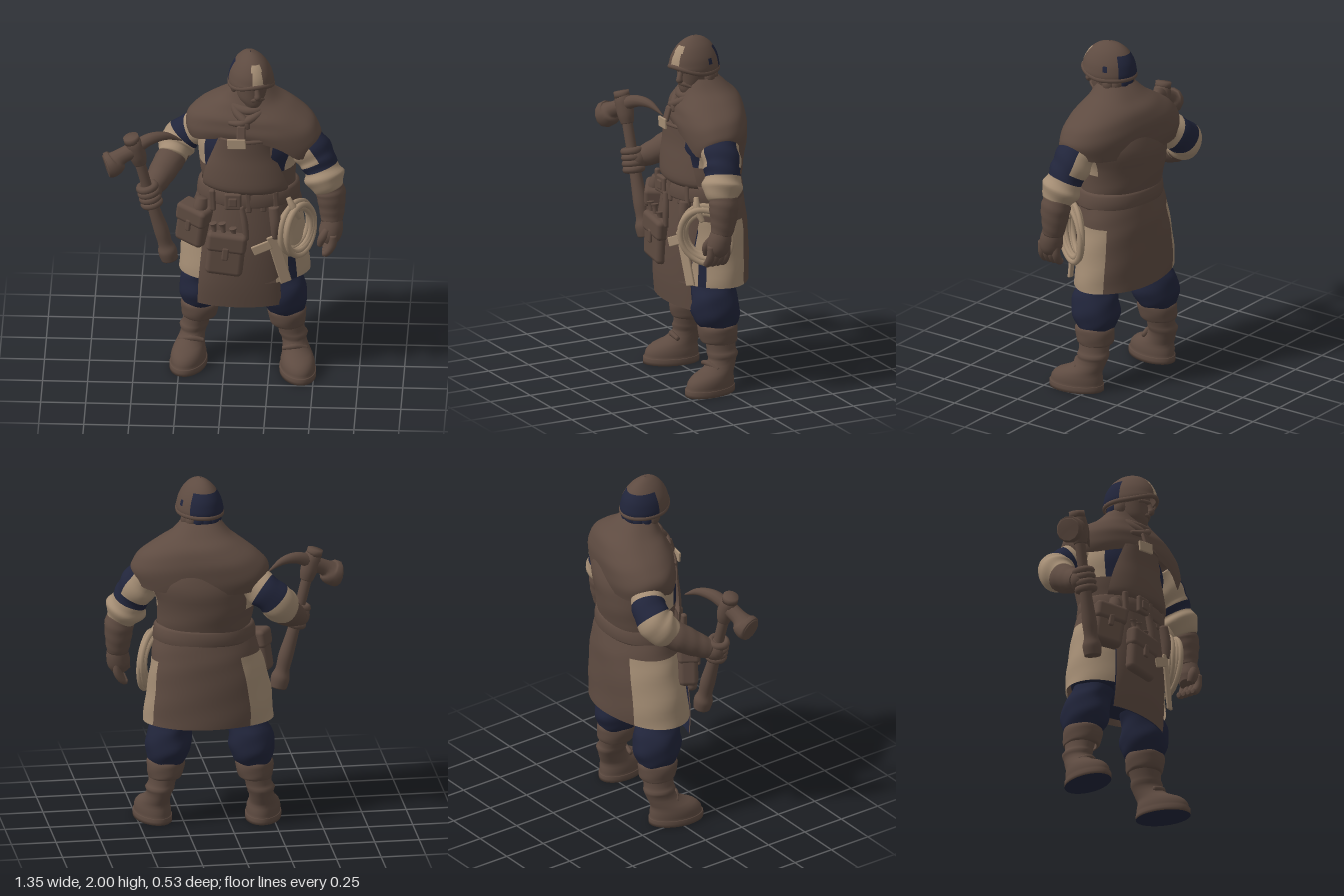
import * as THREE from 'three';
import { mergeVertices } from 'three/addons/utils/BufferGeometryUtils.js';
import { RoundedBoxGeometry } from 'three/addons/geometries/RoundedBoxGeometry.js';

const colour = (name, hex) => {
  const m = new THREE.MeshStandardMaterial({ color: hex, side: THREE.DoubleSide });
  m.name = name;
  return m;
};

export function createModel() {
  const model = new THREE.Group();
  model.name = 'craftsman';
  const mats = [colour('brown leather', 0x5e4b41), colour('tan linen', 0xa48d74), colour('navy cloth', 0x21253b)];
  const [BROWN, TAN, NAVY] = [0, 1, 2];

  const add = (name, geo, mat = BROWN, pos = [0, 0, 0], rot = [0, 0, 0], scale = [1, 1, 1]) => {
    const mesh = new THREE.Mesh(geo, Array.isArray(mat) ? mat : mats[mat]);
    mesh.name = name;
    mesh.position.set(...pos);
    mesh.rotation.set(...rot);
    mesh.scale.set(...scale);
    model.add(mesh);
    return mesh;
  };
  const box = (name, size, pos, rot, mat, r = 0.012) =>
    add(name, new RoundedBoxGeometry(...size, 2, Math.min(r, Math.min(...size) / 2.1)), mat, pos, rot);

  // Smooth value between the rows of a small table
  const sample = (rows, t) => {
    const f = t * (rows.length - 1), i = Math.min(Math.floor(f), rows.length - 2), u = f - i;
    const at = k => rows[Math.max(0, Math.min(rows.length - 1, k))];
    return rows[i].map((b, k) => {
      const a = at(i - 1)[k], c = at(i + 1)[k], d = at(i + 2)[k];
      return b + 0.5 * u * (c - a + u * (2 * a - 5 * b + 4 * c - d + u * (3 * (b - c) + d - a)));
    });
  };

  // Skin over a list of rings; pick(angle in degrees, t) chooses the colour of each face
  const skin = (name, rings, angles, pick, cap) => {
    const n = rings.length, w = angles.length, pos = [], faces = [[], [], []];
    const middle = r => r.reduce((s, p) => s.add(p), new THREE.Vector3()).divideScalar(w);
    const all = cap ? [rings[0].map(() => middle(rings[0])), ...rings, rings[0].map(() => middle(rings[n - 1]))] : rings;
    all.forEach(r => r.forEach(p => pos.push(p.x, p.y, p.z)));
    for (let i = 0; i < all.length - 1; i++) for (let j = 0; j < w - 1; j++) {
      const t = cap ? (i - 0.5) / (n - 1) : (i + 0.5) / (n - 1);
      const a = i * w + j, b = a + 1, c = b + w, d = a + w;
      faces[pick(THREE.MathUtils.radToDeg((angles[j] + angles[j + 1]) / 2), t)].push(a, b, c, a, c, d);
    }
    let geo = new THREE.BufferGeometry();
    geo.setAttribute('position', new THREE.Float32BufferAttribute(pos, 3));
    geo.setIndex(faces.flat());
    let start = 0;
    faces.forEach((f, k) => { if (f.length) geo.addGroup(start, f.length, k); start += f.length; });
    geo = mergeVertices(geo, 1e-5);
    geo.computeVertexNormals();
    return add(name, geo, mats);
  };
  const angleList = (a0, a1, n) => Array.from({ length: n + 1 }, (_, i) => a0 + (a1 - a0) * i / n);

  // Upright loft: rows of [y, centre x, centre z, radius x, radius z], bottom to top; angle 0 is the front
  const loft = (name, rows, { mat = BROWN, pick = () => mat, yaw = 0, arc = [0, Math.PI * 2], seg = 40, sub = 4,
    fold = 0, square = 1, hem = () => 0, cap = false } = {}) => {
    const angles = angleList(...arc, seg), n = (rows.length - 1) * sub, c = Math.cos(yaw), s = Math.sin(yaw);
    const full = v => Math.sign(v) * Math.abs(v) ** square;
    const rings = angleList(0, 1, n).map(t => {
      const [y, cx, cz, rx, rz] = sample(rows, t);
      return angles.map(a => {
        const k = 1 + fold * Math.sin(5 * a + 7 * t) + fold * 0.6 * Math.sin(3 * a - 22 * t);
        const lx = rx * k * full(Math.sin(a)), lz = rz * k * full(Math.cos(a));
        return new THREE.Vector3(cx + lx * c - lz * s, y + hem(a, t), cz + lx * s + lz * c);
      });
    });
    return skin(name, rings, angles, pick, cap);
  };

  // Limb: rows of [x, y, z, radius] along its middle
  const limb = (name, rows, { mat = BROWN, pick = () => mat, seg = 20, sub = 6, fold = 0 } = {}) => {
    const angles = angleList(0, Math.PI * 2, seg), at = t => new THREE.Vector3(...sample(rows, t));
    const rings = angleList(0, 1, (rows.length - 1) * sub).map(t => {
      const r = sample(rows, t)[3], p = at(t);
      const T = at(Math.min(1, t + 0.01)).sub(at(Math.max(0, t - 0.01))).normalize();
      const N = new THREE.Vector3(0, 0, 1).cross(T).normalize(), B = T.clone().cross(N);
      return angles.map(a => {
        const k = r * (1 + fold * Math.sin(26 * t + 2 * Math.sin(a)) + fold * 0.5 * Math.sin(4 * a + 9 * t));
        return p.clone().addScaledVector(N, k * Math.cos(a)).addScaledVector(B, k * Math.sin(a));
      });
    });
    return skin(name, rings, angles, pick, true);
  };

  // Legs, mirrored about the hips; the right one stands a little further back
  for (const s of [1, -1]) {
    const side = s > 0 ? 'left' : 'right', z = s > 0 ? 0 : -0.075, x = d => 0.105 + s * d;
    loft(side + 'Trouser', [[0.34, x(0.24), z, 0.08, 0.085], [0.38, x(0.235), z + 0.01, 0.108, 0.115], [0.45, x(0.228), z + 0.015, 0.128, 0.14],
      [0.54, x(0.22), z + 0.02, 0.122, 0.13], [0.63, x(0.185), z * 0.5 + 0.01, 0.115, 0.115], [0.85, x(0.13), z / 3, 0.12, 0.12]], { mat: NAVY, fold: 0.026 });
    loft(side + 'Boot', [[0, x(0.305), z + 0.09, 0.1, 0.16], [0.035, x(0.305), z + 0.09, 0.1, 0.16], [0.037, x(0.305), z + 0.088, 0.094, 0.153],
      [0.07, x(0.305), z + 0.085, 0.094, 0.15], [0.105, x(0.303), z + 0.07, 0.085, 0.13], [0.135, x(0.293), z + 0.03, 0.074, 0.1],
      [0.18, x(0.28), z, 0.068, 0.085], [0.21, x(0.277), z - 0.003, 0.08, 0.092], [0.24, x(0.265), z, 0.073, 0.085], [0.32, x(0.25), z, 0.085, 0.095]],
    { yaw: -0.22 * s, sub: 2, cap: true, pick: (a, t) => t < 0 ? NAVY : BROWN });
    loft(side + 'BootCuff', [[0.27, x(0.25), z, 0.085, 0.09], [0.285, x(0.247), z + 0.005, 0.097, 0.105], [0.36, x(0.242), z + 0.01, 0.107, 0.112],
      [0.385, x(0.242), z + 0.01, 0.085, 0.09]], { fold: 0.015 });
    limb(side + 'BootStrap', [[x(0.22), 0.15, z + 0.09, 0.012], [x(0.29), 0.165, z + 0.095, 0.016], [x(0.355), 0.14, z + 0.06, 0.012]], { seg: 8 });
  }
  loft('trouserSeat', [[0.6, 0.105, -0.03, 0.16, 0.1], [0.64, 0.105, -0.015, 0.325, 0.19], [0.78, 0.11, -0.02, 0.32, 0.19]], { mat: NAVY, cap: true });

  // Tunic skirt with linen side panels
  loft('skirt', [[0.61, 0.11, -0.015, 0.365, 0.222], [0.75, 0.11, -0.02, 0.352, 0.22], [0.92, 0.12, -0.025, 0.322, 0.213], [1.04, 0.13, -0.02, 0.295, 0.205],
    [1.16, 0.135, -0.005, 0.265, 0.19]], {
    seg: 72, fold: 0.01, pick: (a, t) => {
      const m = Math.min(a, 360 - a);
      if (m < 30 || m > (a < 180 ? 113 : 146) || t > (a < 180 ? 0.62 : 0.69)) return BROWN;
      return a > 45 && a < 56 && t < 0.25 ? NAVY : TAN;
    }
  });
  // Torso with shirt showing beside the bib
  loft('torso', [[1.12, 0.135, -0.01, 0.25, 0.185], [1.2, 0.135, -0.015, 0.262, 0.2], [1.32, 0.13, -0.025, 0.275, 0.21], [1.45, 0.15, -0.03, 0.29, 0.207],
    [1.62, 0.15, -0.03, 0.2, 0.15]], {
    yaw: 0.12, seg: 72, fold: 0.008, pick: (a, t) => {
      const m = Math.min(a, 360 - a);
      return m < 28 || m > (a < 180 ? 104 : 126) || t < 0.42 ? BROWN : m < 54 ? NAVY : TAN;
    }
  });
  // Apron with a dark lining, and its bib
  const apronRows = [[0.46, 0.09, 0.1, 0.27, 0.1], [0.62, 0.09, 0.11, 0.262, 0.105], [0.85, 0.11, 0.08, 0.262, 0.135], [1.12, 0.13, 0.01, 0.27, 0.18]];
  loft('apron', apronRows, { arc: [-1.05, 1.05], seg: 24 });
  loft('apronLining', apronRows.map(([y, x, z, rx, rz]) => [y, x, z - 0.007, rx, rz]), { arc: [1.05, -1.05], seg: 24, mat: NAVY });
  loft('bib', [[1.165, 0.13, 0.01, 0.26, 0.185], [1.2, 0.13, 0.02, 0.275, 0.2], [1.3, 0.12, 0.05, 0.245, 0.165], [1.4, 0.115, 0.08, 0.2, 0.125],
    [1.5, 0.115, 0.115, 0.16, 0.09]], { arc: [-1.05, 1.05], seg: 24, yaw: 0.1 });
  limb('bibTopEdge', [[-0.02, 1.49, 0.145, 0.01], [0.11, 1.5, 0.205, 0.012], [0.25, 1.5, 0.175, 0.01]], { seg: 8 });
  box('strapPatch', [0.105, 0.06, 0.014], [0.075, 1.495, 0.212], [0, -0.12, 0.08], TAN, 0.005);
  box('strap', [0.05, 0.09, 0.02], [0.1, 1.55, 0.195], [-0.3, 0, 0]);

  // Belt and buckle
  loft('belt', [[1.085, 0.135, -0.005, 0.275, 0.2], [1.095, 0.135, -0.005, 0.287, 0.212], [1.165, 0.135, -0.005, 0.28, 0.209], [1.18, 0.135, -0.005, 0.262, 0.19]],
    { sub: 2, yaw: 0.04, fold: 0.006 });
  box('buckle', [0.095, 0.1, 0.03], [0.055, 1.13, 0.205], [0, 0, 0]);
  box('bucklePlate', [0.05, 0.055, 0.02], [0.055, 1.13, 0.218], [0, 0, 0]);
  for (const x of [-0.06, 0.14, 0.22, 0.29]) box('beltLoop', [0.035, 0.13, 0.03], [x, 1.12, 0.2 - Math.abs(x - 0.1) * 0.18], [0, (x - 0.1) * 0.9, 0.05]);

  // Pouches
  const pouch = (name, [w, h, d], pos, rot) => {
    const g = new THREE.Group();
    g.name = name;
    g.add(box(name + 'Body', [w, h, d], [0, 0, 0], [0, 0, 0], BROWN, 0.03));
    g.add(box(name + 'Flap', [w * 1.06, h * 0.45, d * 1.15], [0, h * 0.29, 0.004], [0, 0, 0], BROWN, 0.025));
    g.add(box(name + 'Clasp', [w * 0.18, h * 0.3, 0.02], [0, h * 0.06, d * 0.56], [0, 0, 0]));
    g.position.set(...pos);
    g.rotation.set(...rot);
    model.add(g);
  };
  pouch('sidePouch', [0.18, 0.24, 0.11], [-0.165, 0.945, 0.12], [0, -0.55, -0.15]);
  pouch('frontPouch', [0.21, 0.26, 0.065], [0.015, 0.81, 0.222], [0, -0.05, -0.1]);
  for (const [x, y] of [[-0.05, 1], [0.0, 1.0], [0.06, 0.97]]) limb('pouchTool', [[x + 0.01, 0.88, 0.22, 0.014], [x, y - 0.03, 0.22, 0.014], [x - 0.005, y, 0.22, 0.022]], { seg: 10 });
  limb('toolLoop', [[0.1, 1.1, 0.205, 0.015], [0.12, 1.0, 0.215, 0.02], [0.13, 0.9, 0.22, 0.015]], { seg: 8 });
  limb('bottle', [[-0.12, 1.12, 0.14, 0.03], [-0.13, 1.06, 0.15, 0.04], [-0.14, 1.0, 0.15, 0.03]], { seg: 12 });

  // Hanging linen strips and rope coil
  box('strip', [0.065, 0.31, 0.016], [0.31, 0.765, 0.19], [0, 0.3, 0.27], TAN, 0.006);
  box('shortStrip', [0.11, 0.055, 0.016], [0.215, 0.845, 0.212], [0, 0.1, 0.4], TAN, 0.006);
  limb('holster', [[0.28, 1.09, 0.18, 0.03], [0.29, 0.99, 0.195, 0.03], [0.29, 0.9, 0.195, 0.02]], { seg: 10 });
  for (let i = 0; i < 6; i++) {
    add('ropeTurn', new THREE.TorusGeometry(0.118 + 0.01 * (i % 3), 0.0155, 8, 40), TAN,
      [0.388 + 0.008 * i, 0.925 - 0.01 * (i % 2), 0.1 + 0.005 * i], [0, 0.95 + 0.04 * (i - 2.5), 0.1 * i], [1, 1.1 + 0.03 * (i % 3), 1]);
  }
  limb('ropeHitch', [[0.36, 1.13, 0.15, 0.014], [0.39, 1.07, 0.16, 0.022], [0.42, 1.0, 0.14, 0.014]], { mat: TAN, seg: 8 });

  // Shoulder mantle, its hem dipping over the left breast
  loft('mantle', [[1.4, 0.16, -0.02, 0.37, 0.19], [1.47, 0.16, -0.022, 0.385, 0.2], [1.54, 0.16, -0.025, 0.365, 0.2], [1.6, 0.16, -0.025, 0.315, 0.192],
    [1.66, 0.16, -0.025, 0.235, 0.166], [1.71, 0.155, -0.01, 0.16, 0.13], [1.77, 0.15, 0.01, 0.105, 0.09]], {
    yaw: 0.26, fold: 0.008, square: 0.86, seg: 56,
    hem: (a, t) => (1 - t) ** 3 * (0.09 * Math.max(0, Math.cos(a)) ** 3 + 0.05 * Math.sin(a) ** 8 - 0.045 * Math.exp(-(((a - 0.95) / 0.3) ** 2)))
  });
  // Scarf
  add('scarf', new THREE.TorusGeometry(0.092, 0.026, 12, 32), BROWN, [0.15, 1.7, 0.035], [Math.PI / 2 + 0.38, 0.08, 0], [1.12, 1.08, 1]);
  limb('scarfFoldLeft', [[0.26, 1.72, 0.04, 0.022], [0.21, 1.66, 0.125, 0.024], [0.11, 1.605, 0.165, 0.022], [0.03, 1.59, 0.14, 0.012]], { seg: 12 });
  limb('scarfFoldRight', [[0.04, 1.7, 0.04, 0.022], [0.07, 1.65, 0.115, 0.024], [0.12, 1.61, 0.16, 0.024], [0.14, 1.57, 0.172, 0.012]], { seg: 12 });

  // Head
  const headYaw = -0.3;
  loft('face', [[1.62, 0.15, 0.02, 0.075, 0.075], [1.69, 0.155, 0.06, 0.06, 0.085], [1.73, 0.15, 0.055, 0.078, 0.1], [1.79, 0.15, 0.05, 0.088, 0.108],
    [1.88, 0.15, 0.05, 0.09, 0.115]], { yaw: headYaw, seg: 28 });
  limb('nose', [[0.182, 1.82, 0.15, 0.013], [0.189, 1.785, 0.163, 0.016], [0.19, 1.765, 0.165, 0.019], [0.186, 1.755, 0.15, 0.01]], { seg: 10 });
  limb('brow', [[0.11, 1.815, 0.135, 0.012], [0.18, 1.82, 0.155, 0.015], [0.225, 1.815, 0.115, 0.012]], { seg: 8 });
  limb('moustache', [[0.13, 1.725, 0.13, 0.008], [0.183, 1.745, 0.15, 0.014], [0.222, 1.725, 0.105, 0.008]], { seg: 8 });
  for (let i = 0; i < 7; i++) {
    const a = 1.65 + i * 0.48 - headYaw;
    add('hairTuft', new THREE.SphereGeometry(0.035, 10, 8), i > 1 && i < 6 ? NAVY : BROWN, [0.15 + 0.092 * Math.sin(a), 1.778, 0.035 + 0.092 * Math.cos(a)], [0, a, 0], [1, 1.25, 0.8]);
  }
  // Helmet with pale front stripe and dark back patch
  loft('helmet', [[1.79, 0.15, 0.055, 0.116, 0.143], [1.82, 0.15, 0.055, 0.126, 0.155], [1.855, 0.15, 0.055, 0.122, 0.152], [1.9, 0.15, 0.055, 0.108, 0.14],
    [1.95, 0.15, 0.055, 0.077, 0.108], [1.985, 0.148, 0.055, 0.038, 0.06], [2, 0.146, 0.055, 0.003, 0.004]], {
    yaw: headYaw, seg: 72, hem: (a, t) => 0.045 * Math.max(0, Math.cos(a)) ** 2 * Math.max(0, 1 - 3 * t), pick: (a, t) => {
      const m = Math.min(a, 360 - a);
      if (m < 8 + 16 * t && t > 0.16 && t < 0.71) return TAN;
      const patch = a > 124 && a < 260 && t > 0.12 && t < 0.62, spot = a > 90 && a < 101 && t > 0.33 && t < 0.46;
      return patch || spot ? NAVY : BROWN;
    }
  });
  loft('helmetRim', [[1.792, 0.15, 0.055, 0.12, 0.148], [1.8, 0.15, 0.055, 0.13, 0.159], [1.815, 0.15, 0.055, 0.129, 0.158], [1.822, 0.15, 0.055, 0.12, 0.148]],
    { yaw: headYaw, sub: 2, hem: a => 0.04 * Math.max(0, Math.cos(a)) ** 2 });

  // Left arm, hanging
  limb('leftSleeve', [[0.41, 1.49, 0.035, 0.085], [0.465, 1.42, 0.055, 0.107], [0.51, 1.35, 0.065, 0.107], [0.54, 1.29, 0.08, 0.098], [0.56, 1.235, 0.09, 0.113],
    [0.585, 1.17, 0.1, 0.08]], { fold: 0.035, seg: 28, pick: (a, t) => (t < 0.6 && (a < 80 || a > 325)) || (t > 0.45 && t < 0.6) ? NAVY : TAN });
  limb('leftBracer', [[0.585, 1.19, 0.1, 0.075], [0.595, 1.14, 0.1, 0.083], [0.6, 1.05, 0.105, 0.072], [0.6, 0.98, 0.115, 0.06]], { fold: 0.018 });
  limb('leftHand', [[0.6, 1.0, 0.115, 0.055], [0.6, 0.95, 0.125, 0.064], [0.59, 0.9, 0.135, 0.064], [0.575, 0.86, 0.14, 0.045]]);
  for (let i = 0; i < 4; i++) {
    const z = 0.09 + 0.032 * i;
    limb('leftFinger', [[0.61, 0.92, z, 0.02], [0.605, 0.86, z, 0.024], [0.575, 0.81, z + 0.003, 0.021], [0.55, 0.805, z + 0.003, 0.014]], { seg: 10, sub: 4 });
  }
  limb('leftThumb', [[0.58, 0.95, 0.17, 0.02], [0.55, 0.9, 0.185, 0.024], [0.535, 0.85, 0.18, 0.015]], { seg: 10 });

  // Right arm, bent with the elbow back
  limb('rightSleeve', [[-0.04, 1.46, -0.08, 0.09], [-0.14, 1.415, -0.135, 0.098], [-0.225, 1.355, -0.168, 0.098], [-0.27, 1.3, -0.145, 0.103], [-0.295, 1.25, -0.09, 0.08]],
    { fold: 0.035, seg: 28, pick: (a, t) => t > 0.34 && t < 0.54 ? NAVY : TAN });
  limb('rightBracer', [[-0.265, 1.275, -0.13, 0.075], [-0.315, 1.23, -0.06, 0.082], [-0.365, 1.175, 0.03, 0.07], [-0.405, 1.14, 0.1, 0.056]], { fold: 0.018 });
  add('rightHand', new THREE.SphereGeometry(0.068, 20, 14), BROWN, [-0.41, 1.135, 0.125], [0, 0, 0.25], [1, 0.95, 0.9]);
  for (let i = 0; i < 4; i++) {
    const y = 1.08 + 0.033 * i;
    add('rightFinger', new THREE.TorusGeometry(0.044, 0.021, 8, 20), BROWN, [-0.412 - 0.26 * (y - 1.135), y, 0.145], [Math.PI / 2, 0.25, 0]);
  }

  // War pick: shaft, collar, hammer face and curved beak
  limb('shaft', [[-0.3, 0.715, 0.12, 0.047], [-0.312, 0.77, 0.123, 0.053], [-0.325, 0.82, 0.126, 0.04], [-0.345, 0.9, 0.13, 0.042], [-0.375, 1.0, 0.135, 0.036],
    [-0.414, 1.14, 0.142, 0.03], [-0.455, 1.3, 0.15, 0.03], [-0.5, 1.47, 0.16, 0.03]], { seg: 16 });
  limb('collar', [[-0.462, 1.33, 0.152, 0.036], [-0.475, 1.38, 0.155, 0.048], [-0.495, 1.45, 0.16, 0.05], [-0.505, 1.485, 0.162, 0.04]], { seg: 14 });
  limb('capStud', [[-0.505, 1.47, 0.162, 0.046], [-0.515, 1.505, 0.164, 0.044]], { seg: 14, sub: 2 });
  limb('hammerFace', [[-0.65, 1.335, 0.203, 0.062], [-0.635, 1.34, 0.199, 0.074], [-0.6, 1.358, 0.19, 0.07], [-0.57, 1.385, 0.181, 0.046], [-0.49, 1.425, 0.16, 0.046]], { seg: 12 });
  limb('beak', [[-0.49, 1.43, 0.16, 0.04], [-0.41, 1.47, 0.125, 0.034], [-0.32, 1.47, 0.085, 0.022], [-0.235, 1.425, 0.05, 0.003]], { seg: 10 });
  return model;
}
